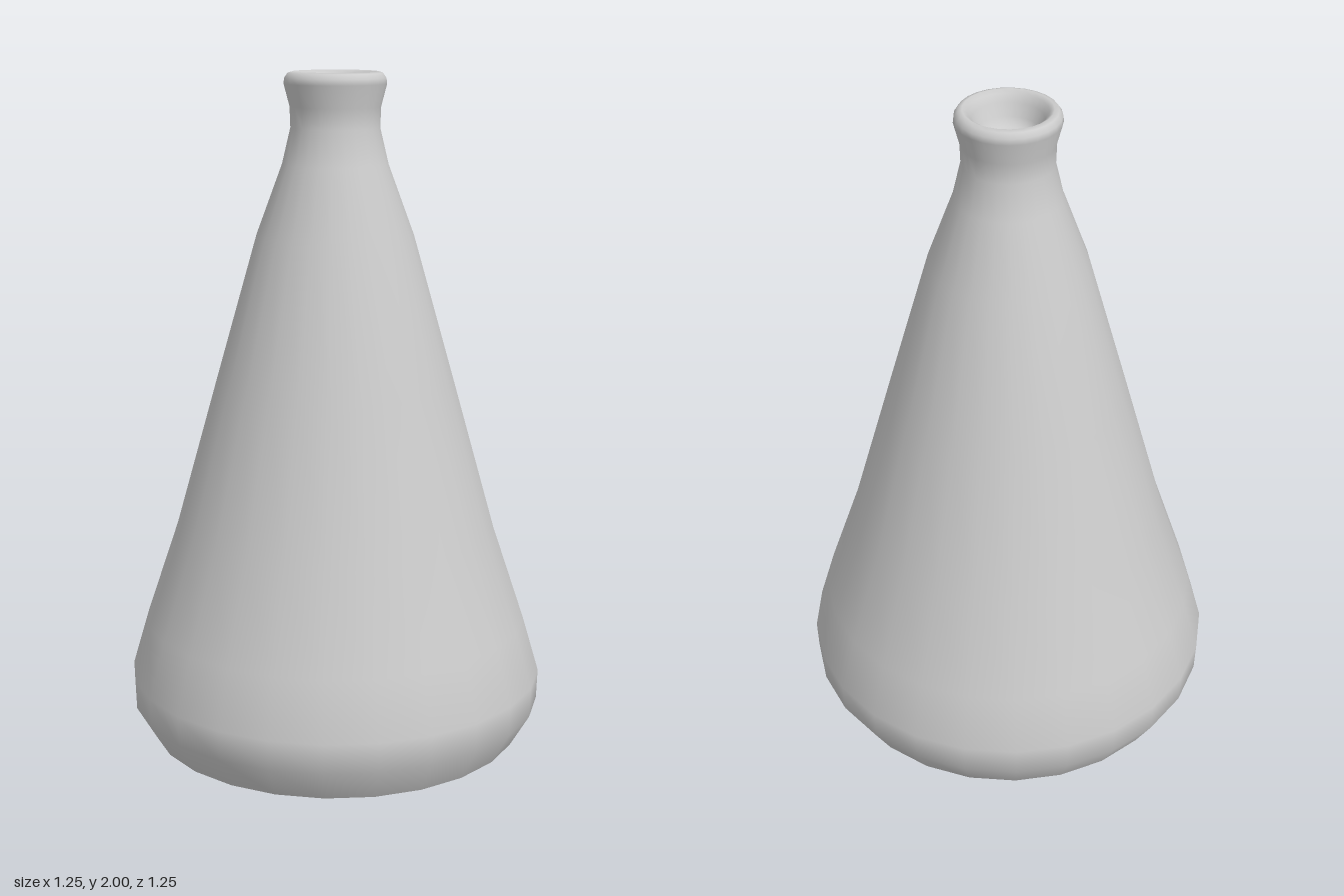
import * as THREE from 'three';

const SIDES = 25;

// Revolve a list of [radius, height] pairs around the y axis, one corner at the back
function turned(name, profile, material) {
  const points = profile.map(([r, y]) => new THREE.Vector2(r, y));
  const mesh = new THREE.Mesh(new THREE.LatheGeometry(points, SIDES, Math.PI), material);
  mesh.name = name;
  return mesh;
}

export function createModel() {
  const group = new THREE.Group();
  group.name = 'flask';
  const grey = new THREE.MeshStandardMaterial({ color: 0xcccccc, side: THREE.DoubleSide });

  // Conical body, neck, rolled lip and hollow mouth in one smooth profile
  group.add(turned('body', [
    [0.567, 0], [0.625, 0.1], [0.628, 0.19], [0.578, 0.36], [0.482, 0.645],
    [0.357, 1.09], [0.232, 1.53], [0.156, 1.735], [0.131, 1.84], [0.133, 1.9],
    [0.15, 1.965], [0.148, 1.982], [0.138, 1.996], [0.125, 2],
    [0.112, 1.992], [0.1, 1.97], [0.085, 1.935], [0.07, 1.91], [0, 1.9],
  ], grey));

  // Flat underside, separate so its edge stays sharp
  group.add(turned('base', [[0, 0], [0.567, 0]], grey));

  return group;
}
